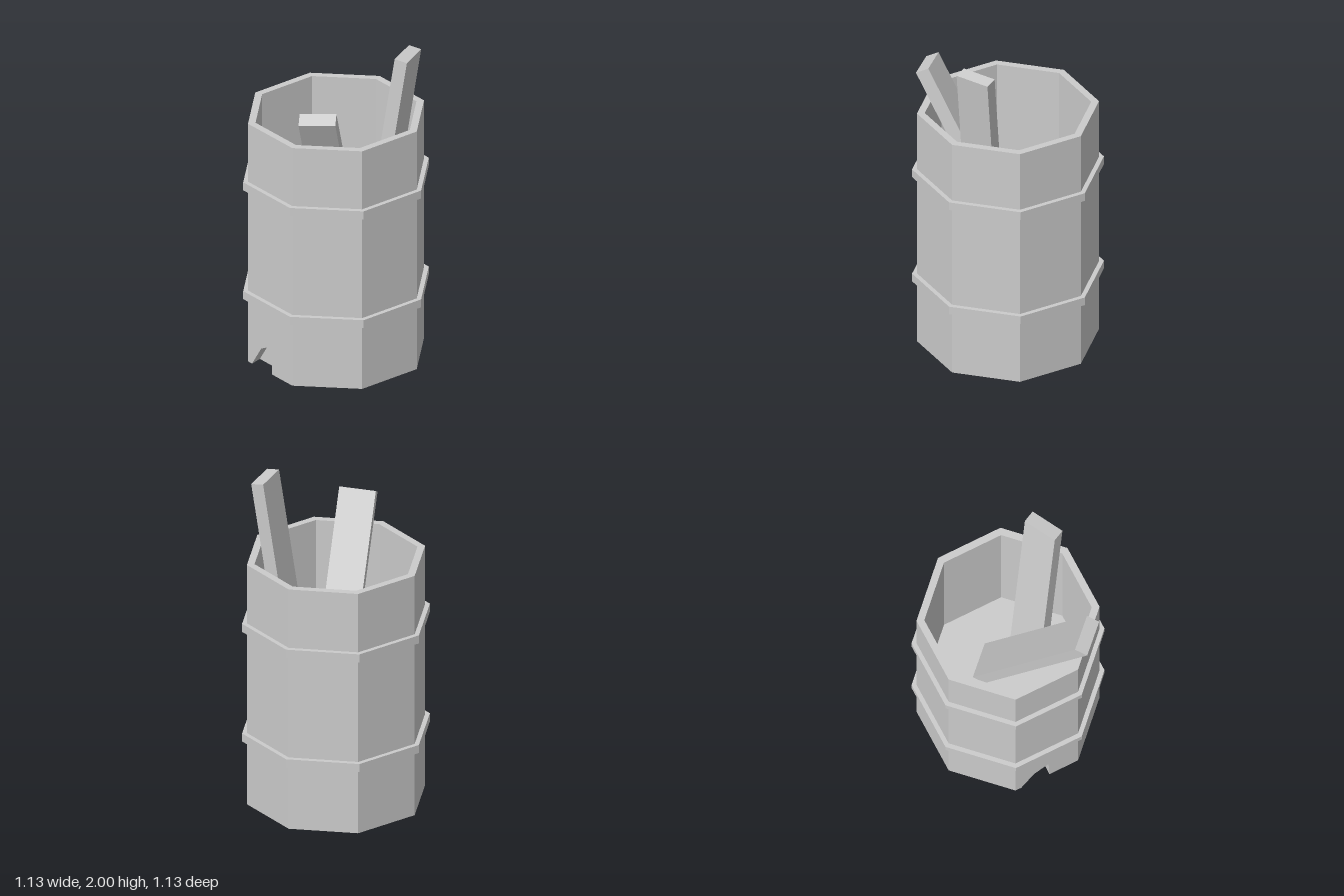
import * as THREE from 'three';

const SIDES = 8, STEP = Math.PI / 4, TURN = 0.072; // octagon, slightly turned
const R = 0.536, R_IN = 0.49, H = 1.55, FLOOR = 0.49;

const mat = new THREE.MeshStandardMaterial({ color: 0xcccccc, flatShading: true, side: THREE.DoubleSide });

function add(parent, name, geometry) {
  const mesh = new THREE.Mesh(geometry, mat);
  mesh.name = name;
  parent.add(mesh);
  return mesh;
}

const v2 = (pts) => pts.map(([x, y]) => new THREE.Vector2(x, y));

function lathe(points, segments = SIDES) {
  return new THREE.LatheGeometry(v2(points), segments, TURN, segments * STEP);
}

// Plank given by one top corner and its width, thickness and downward length vectors
function plank(parent, name, corner, across, through, down) {
  const c = new THREE.Vector3(...corner);
  const a = new THREE.Vector3(...across), t = new THREE.Vector3(...through), d = new THREE.Vector3(...down);
  const size = [a.length(), d.length(), t.length()];
  const centre = c.clone().addScaledVector(a, 0.5).addScaledVector(t, 0.5).addScaledVector(d, 0.5);
  const y = d.clone().normalize().negate();
  const x = a.clone().addScaledVector(y, -a.dot(y)).normalize();
  const z = x.clone().cross(y);
  const mesh = add(parent, name, new THREE.BoxGeometry(...size));
  mesh.quaternion.setFromRotationMatrix(new THREE.Matrix4().makeBasis(x, y, z));
  mesh.position.copy(centre);
}

// The stave with a broken, recessed chip at its foot
function chippedStave() {
  const stave = new THREE.Group();
  stave.name = 'chippedStave';
  const half = R * Math.sin(STEP / 2), depth = 0.048;
  const chip = [[-0.167, 0], [-0.083, 0.13], [0.012, 0.18], [0.017, 0]];

  add(stave, 'staveFace', new THREE.ShapeGeometry(new THREE.Shape(v2([
    [-half, 0], ...chip, [half, 0], [half, H], [-half, H]]))));

  const back = [[-0.154, 0.02], chip[1], chip[2], [0.016, 0.02]];
  add(stave, 'chipBack', new THREE.ShapeGeometry(new THREE.Shape(v2(back)))).position.z = -depth;

  // Sides of the chip
  const pos = [];
  for (let i = 0; i < 3; i++) {
    const a = [...chip[i], 0], b = [...chip[i + 1], 0];
    const c = [...back[i + 1], -depth], d = [...back[i], -depth];
    pos.push(...a, ...b, ...c, ...a, ...c, ...d);
  }
  const rim = new THREE.BufferGeometry();
  rim.setAttribute('position', new THREE.Float32BufferAttribute(pos, 3));
  rim.computeVertexNormals();
  add(stave, 'chipSides', rim);

  const angle = TURN - STEP / 2, apothem = R * Math.cos(STEP / 2);
  stave.rotation.y = angle;
  stave.position.set(apothem * Math.sin(angle), 0, apothem * Math.cos(angle));
  return stave;
}

export function createModel() {
  const model = new THREE.Group();
  model.name = 'barrelWithPlanks';

  // Outer wall: seven plain staves and the chipped one
  add(model, 'outerWall', lathe([[R, 0], [R, H]], SIDES - 1));
  model.add(chippedStave());

  // Rim, inner wall and raised floor
  add(model, 'innerWell', lathe([[R, H], [R_IN, H], [R_IN, FLOOR], [0, FLOOR]]));

  // Hoops
  for (const [name, y] of [['lowerHoop', 0.41], ['upperHoop', 1.12]]) {
    const r = 0.565, inner = 0.505, top = y + 0.052;
    add(model, name, lathe([[inner, y], [r, y], [r, top], [inner, top], [inner, y]]));
  }

  // Planks leaning in the barrel
  plank(model, 'shortPlank', [0.06, 1.76, 0.49], [0.195, 0.01, -0.095], [0.035, -0.04, 0.065], [-0.215, -1.25, -0.625]);
  plank(model, 'tallPlank', [0.365, 1.99, -0.22], [0.035, 0.01, 0.21], [0.077, -0.01, -0.012], [-0.205, -1.47, 0.08]);

  return model;
}
